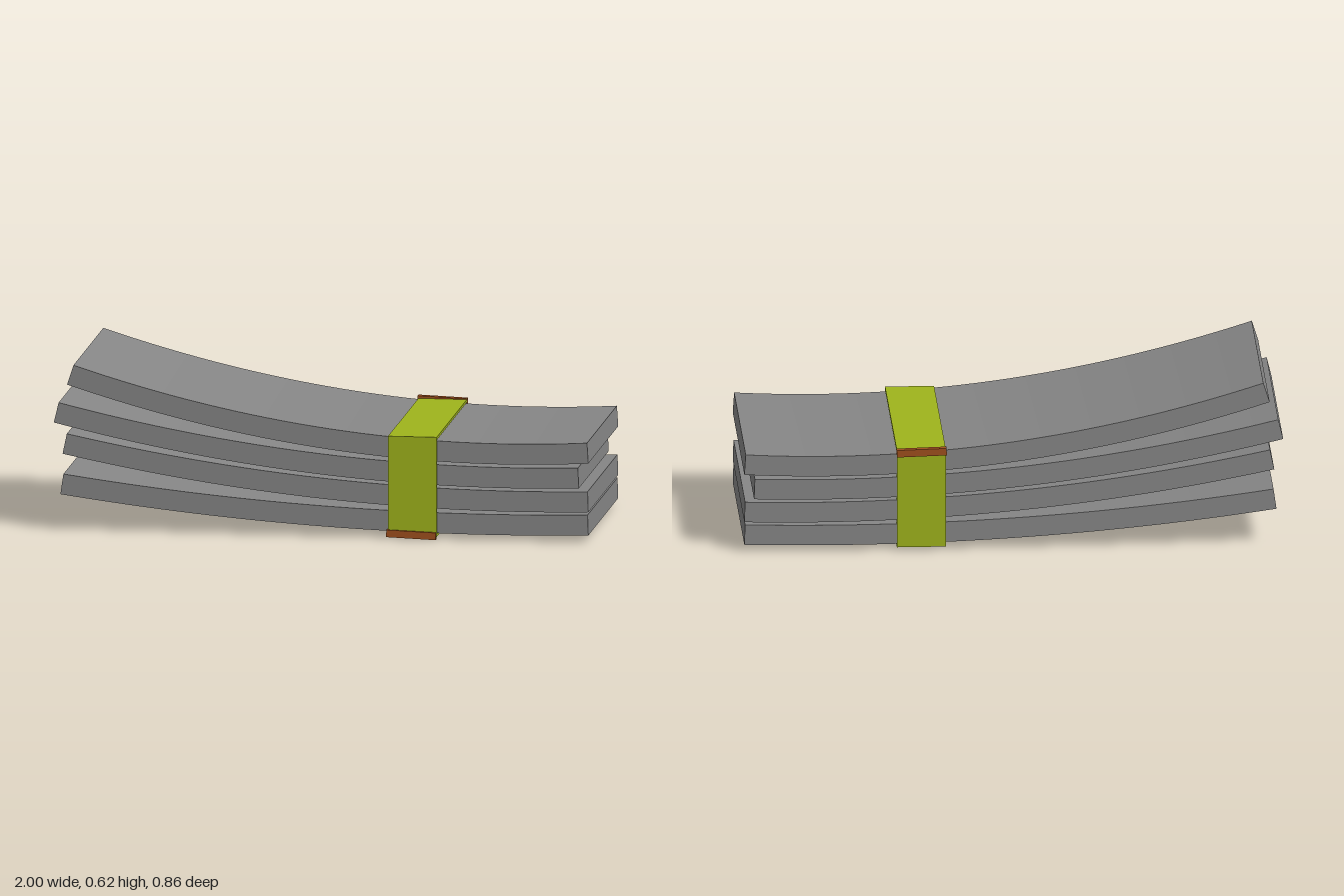
import * as THREE from 'three';
import { toCreasedNormals } from 'three/addons/utils/BufferGeometryUtils.js';

const mat = (color) => new THREE.MeshStandardMaterial({ color });
const DEPTH = 0.81, THICK = 0.077, SEGMENTS = 32;

// Extrude a side profile and centre it on the extrusion axis
function extrude(shape, depth) {
  const g = new THREE.ExtrudeGeometry(shape, { depth, bevelEnabled: false });
  return g.translate(0, 0, -depth / 2);
}

// Bowed slab: the underside is a parabola, the top is offset along its normal
function slabGeometry({ x0, x1, low, lowX, bend }) {
  const under = [], over = [];
  for (let i = 0; i <= SEGMENTS; i++) {
    const x = x0 + (x1 - x0) * i / SEGMENTS;
    const y = low + bend * (x - lowX) ** 2;
    const slope = 2 * bend * (x - lowX), len = Math.hypot(1, slope);
    under.push(new THREE.Vector2(x, y));
    over.unshift(new THREE.Vector2(x - THICK * slope / len, y + THICK / len));
  }
  return toCreasedNormals(extrude(new THREE.Shape([...under, ...over]), DEPTH), 0.5);
}

function rect(path, w, h) {
  path.moveTo(-w / 2, -h / 2);
  path.lineTo(w / 2, -h / 2);
  path.lineTo(w / 2, h / 2);
  path.lineTo(-w / 2, h / 2);
  path.closePath();
  return path;
}

export function createModel() {
  const model = new THREE.Group();
  const add = (name, geometry, material) => {
    const mesh = new THREE.Mesh(geometry, material);
    mesh.name = name;
    model.add(mesh);
    return mesh;
  };

  // Four slabs, each bowed more than the one below
  const darkGrey = mat(0x868686);
  [
    { x0: -0.975, x1: 0.998, low: 0.022, lowX: 0.62, bend: 0.045 },
    { x0: -0.967, x1: 0.998, low: 0.111, lowX: 0.72, bend: 0.0625 },
    { x0: -1.0, x1: 0.962, low: 0.199, lowX: 0.7, bend: 0.0715 },
    { x0: -0.95, x1: 0.998, low: 0.288, lowX: 0.67, bend: 0.0995 },
  ].forEach((s, i) => add(`slab${i + 1}`, slabGeometry(s), darkGrey));

  // Strap: a thin rectangular loop around the stack
  const loop = rect(new THREE.Shape(), 0.829, 0.374);
  loop.holes.push(rect(new THREE.Path(), 0.811, 0.354));
  const strap = add('strap', extrude(loop, 0.182).rotateY(Math.PI / 2), mat(0x9fb41c));
  strap.position.set(0.342, 0.199, 0.002);

  // Slightly skewed edge strips on the lower front and upper back corners of the strap
  const brown = mat(0xa0501e);
  [['frontEdgeStrip', 0.338, 0.018, 0.414], ['backEdgeStrip', 0.341, 0.379, -0.414]]
    .forEach(([name, x, y, z]) => {
      const strip = add(name, new THREE.BoxGeometry(0.185, 0.027, 0.025), brown);
      strip.position.set(x, y, z);
      strip.rotation.set(0, -0.02, -0.035);
    });

  return model;
}
